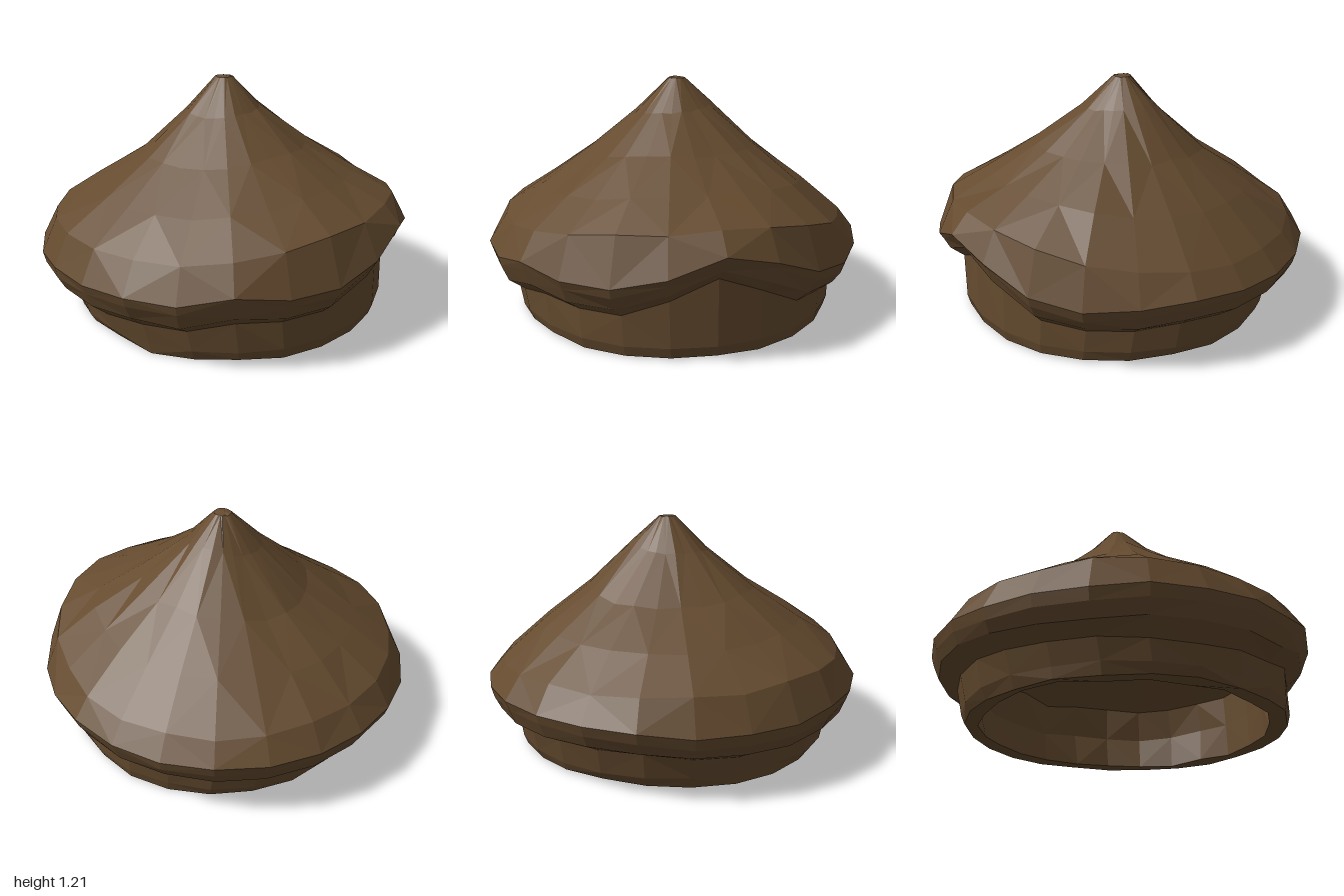
import * as THREE from 'three';

const SIDES = 24;

// Heights of the rim's sharp edge and of its seam with the band, per column (front, then toward +x)
const EDGE = [.32, .32, .385, .345, .35, .42, .53, .46, .34, .30, .32, .34,
  .33, .32, .32, .32, .32, .32, .31, .28, .28, .28, .305, .31];
const SEAM = [.175, .18, .235, .22, .225, .31, .41, .32, .21, .185, .19, .20,
  .19, .19, .19, .19, .20, .20, .20, .18, .175, .17, .165, .165];

let seed = 7;
function jitter(amount) {
  seed = (seed * 16807) % 2147483647;
  return (seed / 2147483647 - 0.5) * 2 * amount;
}

// Ring of points around (dx, dz); height is a function of column and angle
function ring(radius, height, wobble = 0, dx = 0, dz = 0) {
  return Array.from({ length: SIDES }, (_, i) => {
    const a = (i / SIDES) * Math.PI * 2;
    const r = radius + jitter(wobble);
    return new THREE.Vector3(Math.sin(a) * r + dx, height(i, a) + jitter(wobble), Math.cos(a) * r + dz);
  });
}

// Height blended smoothly between the four sides
function sides(front, left, back, right) {
  return (i, a) => {
    const c = Math.cos(a), s = Math.sin(a);
    return c * c * (c > 0 ? front : back) + s * s * (s > 0 ? left : right);
  };
}

// Faceted skin through consecutive rings
function skin(name, rings, material) {
  const points = [];
  for (let k = 0; k < rings.length - 1; k++) {
    const lower = rings[k], upper = rings[k + 1];
    for (let i = 0; i < SIDES; i++) {
      const j = (i + 1) % SIDES;
      if ((i + k) % 2) points.push(lower[i], lower[j], upper[j], lower[i], upper[j], upper[i]);
      else points.push(lower[i], lower[j], upper[i], lower[j], upper[j], upper[i]);
    }
  }
  const geometry = new THREE.BufferGeometry().setFromPoints(points);
  geometry.computeVertexNormals();
  const mesh = new THREE.Mesh(geometry, material);
  mesh.name = name;
  return mesh;
}

export function createModel() {
  const hat = new THREE.Group();
  hat.name = 'hat';
  const felt = new THREE.MeshStandardMaterial({ color: 0x654b2f, flatShading: true });
  felt.name = 'brown felt';
  const flat = (y) => () => y;

  // Shared rings where parts meet
  const hemInner = ring(0.75, flat(0.02), 0.012, 0.03);
  const hemOuter = ring(0.83, flat(0.018), 0.01, 0.04);
  const bandTop = ring(0.865, (i) => SEAM[i], 0.004, 0.015);
  const rimEdge = ring(0.98, (i) => EDGE[i], 0.006);

  // Hollow inside, from its ceiling down to the hem
  hat.add(skin('lining', [
    ring(0, flat(0.7), 0, 0.02),
    ring(0.4, flat(0.54), 0.025, 0.02),
    ring(0.74, flat(0.37), 0.02, 0.02),
    ring(0.77, flat(0.2), 0.015, 0.02),
    hemInner,
  ], felt));

  // Head band with its hem
  hat.add(skin('band', [hemInner, hemOuter, ring(0.85, flat(0.07), 0.004, 0.035), bandTop], felt));

  // Underside of the overhanging rim, arched on one side
  hat.add(skin('rim', [
    bandTop,
    ring(0.945, (i) => SEAM[i] * 0.55 + EDGE[i] * 0.45, 0.006),
    rimEdge,
  ], felt));

  // Crown rolling over from the rim and sweeping up to a blunt peak
  hat.add(skin('crown', [
    rimEdge,
    ring(0.998, (i) => EDGE[i] * 0.85 + 0.1, 0.003),
    ring(0.91, sides(0.53, 0.645, 0.475, 0.5), 0.01),
    ring(0.7, sides(0.675, 0.745, 0.67, 0.635), 0.01),
    ring(0.45, sides(0.84, 0.88, 0.86, 0.795), 0.01),
    ring(0.2, sides(1.035, 1.055, 1.085, 1.035), 0.006),
    ring(0.045, flat(1.21), 0.003, 0, -0.02),
    ring(0, flat(1.218), 0, -0.01, -0.02),
  ], felt));

  return hat;
}
